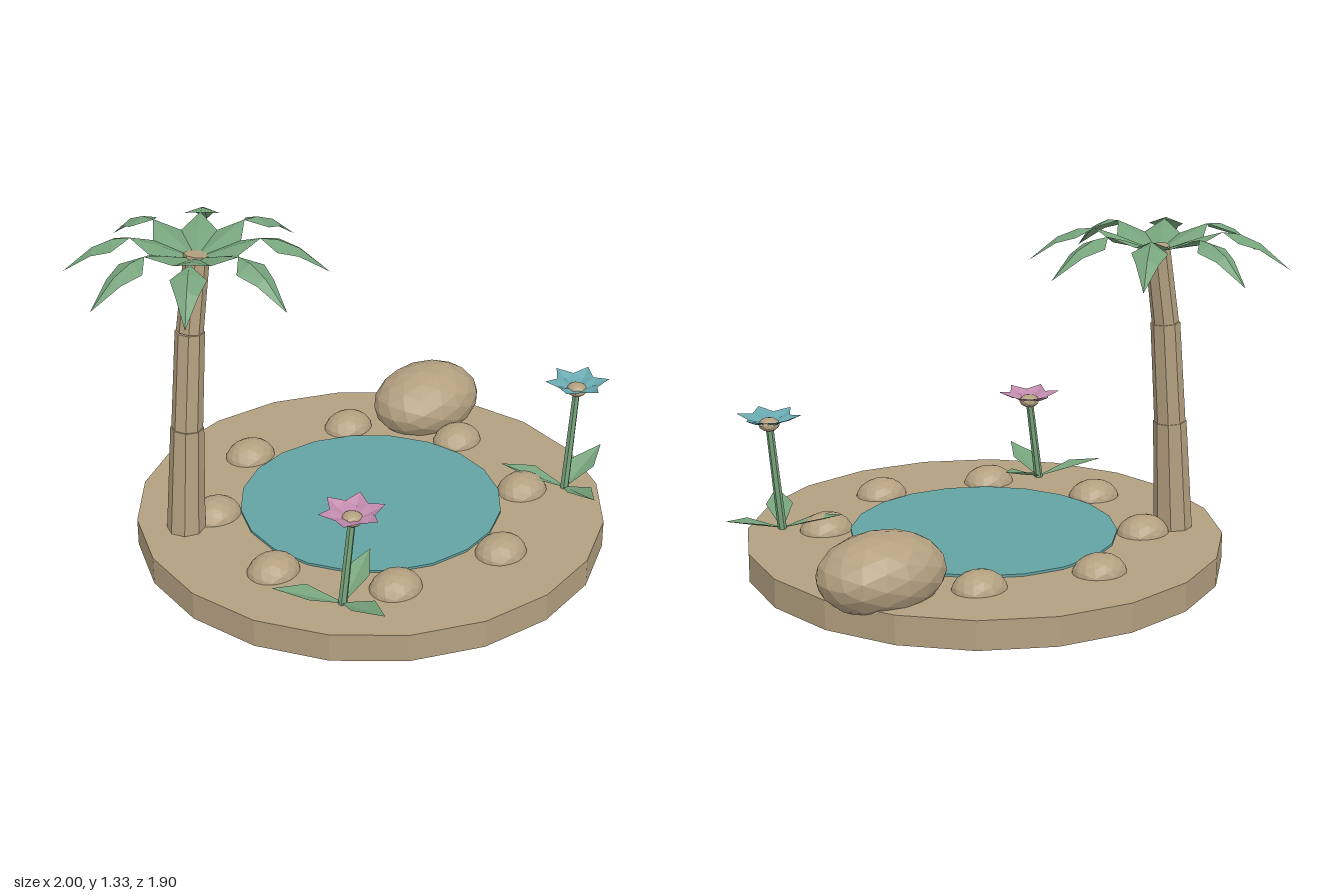
import * as THREE from 'three';

const material = (name, color) => {
  const m = new THREE.MeshStandardMaterial({ color, flatShading: true, side: THREE.DoubleSide });
  m.name = name;
  return m;
};

// Leaf along +x from stations [reach, ridge height, half width, edge drop]
function bladeGeometry(stations) {
  const pos = [], index = [];
  stations.forEach(([r, y, w, drop], i) => {
    pos.push(r, y - drop, -w, r, y, 0, r, y - drop, w);
    if (!i) return;
    for (let k = 0; k < 2; k++) {
      const a = (i - 1) * 3 + k, b = a + 3;
      index.push(a, a + 1, b, b, a + 1, b + 1);
    }
  });
  const g = new THREE.BufferGeometry();
  g.setAttribute('position', new THREE.Float32BufferAttribute(pos, 3));
  g.setIndex(index);
  const flat = g.toNonIndexed();
  flat.computeVertexNormals();
  return flat;
}

export function createModel() {
  const root = new THREE.Group();
  const sand = material('sand', 0xb3a080);
  const water = material('water', 0x62a3a2);
  const green = material('leaf green', 0x76a37b);
  const pink = material('pink petal', 0xc08aac);
  const blue = material('blue petal', 0x68a8b0);

  const add = (parent, name, geometry, mat, x = 0, y = 0, z = 0) => {
    const mesh = new THREE.Mesh(geometry, mat);
    mesh.name = name;
    mesh.position.set(x, y, z);
    parent.add(mesh);
    return mesh;
  };
  const group = (name, x = 0, y = 0, z = 0) => {
    const g = new THREE.Group();
    g.name = name;
    g.position.set(x, y, z);
    root.add(g);
    return g;
  };
  // Tapered rod between two points
  const limb = (parent, name, from, to, r0, r1, sides, mat) => {
    const a = new THREE.Vector3(...from), b = new THREE.Vector3(...to);
    const dir = b.clone().sub(a);
    const mesh = add(parent, name, new THREE.CylinderGeometry(r1, r0, dir.length(), sides), mat);
    mesh.position.copy(a).add(b).multiplyScalar(0.5);
    mesh.quaternion.setFromUnitVectors(new THREE.Vector3(0, 1, 0), dir.normalize());
  };
  // Blades spread evenly round a centre, starting at a top-down angle in degrees
  const whorl = (parent, name, geometry, count, start, mat, x, y, z) => {
    for (let i = 0; i < count; i++) {
      const blade = add(parent, name, geometry, mat, x, y, z);
      blade.rotation.y = -(start * Math.PI / 180 + i * 2 * Math.PI / count);
    }
  };

  // Ground and pond
  add(root, 'islandBase', new THREE.CylinderGeometry(0.948, 0.948, 0.115, 20), sand, 0.05, 0.0575, 0);
  add(root, 'pondWater', new THREE.CylinderGeometry(0.532, 0.532, 0.02, 20), water, 0.052, 0.115, 0);

  // Ring of stones and one boulder
  const stone = new THREE.IcosahedronGeometry(1, 2);
  for (let i = 0; i < 8; i++) {
    const a = (45 * i - 9) * Math.PI / 180;
    add(root, 'pondStone', stone, sand, 0.05 + 0.632 * Math.cos(a), 0.105, 0.632 * Math.sin(a))
      .scale.set(0.111, 0.08, 0.097);
  }
  add(root, 'boulder', stone, sand, 0.743, 0.195, -0.35).scale.set(0.255, 0.152, 0.2);

  // Palm tree
  const palm = group('palmTree');
  const joints = [[-0.61, 0.1, -0.38], [-0.58, 0.56, -0.38], [-0.545, 0.965, -0.38], [-0.495, 1.27, -0.38]];
  const radii = [[0.077, 0.066], [0.062, 0.058], [0.053, 0.05]];
  radii.forEach(([r0, r1], i) => limb(palm, 'trunkSegment', joints[i], joints[i + 1], r0, r1, 8, sand));
  const frond = bladeGeometry([
    [0, 0, 0, 0], [0.165, 0.06, 0.07, 0.018], [0.245, 0.082, 0.002, 0],
    [0.31, 0.077, 0.068, 0.025], [0.39, 0.043, 0.042, 0.018], [0.505, -0.055, 0, 0],
  ]);
  whorl(palm, 'palmFrond', frond, 8, 0, green, -0.495, 1.252, -0.385);

  // Flowers
  const petal = bladeGeometry([[0.01, 0, 0.008, 0], [0.075, 0.012, 0.043, -0.014], [0.13, 0.038, 0, 0]]);
  const leaf = bladeGeometry([[0, 0, 0.004, 0], [0.13, 0.04, 0.055, -0.018], [0.265, 0.085, 0, 0]]);
  const flower = (name, foot, head, petalMat, petalStart, leafStart) => {
    const g = group(name);
    const [x, y, z] = head;
    limb(g, 'stem', foot, head, 0.018, 0.015, 6, green);
    whorl(g, 'baseLeaf', leaf, 3, leafStart, green, foot[0], 0.118, foot[2]);
    whorl(g, 'petal', petal, 6, petalStart, petalMat, x, y, z);
    add(g, 'flowerHeart', new THREE.IcosahedronGeometry(1, 1), sand, x, y - 0.003, z)
      .scale.set(0.042, 0.028, 0.042);
  };
  flower('pinkFlower', [-0.54, 0.11, 0.445], [-0.488, 0.468, 0.445], pink, -92, -22);
  flower('blueFlower', [0.7, 0.11, 0.483], [0.745, 0.56, 0.483], blue, -80, -6);

  return root;
}
